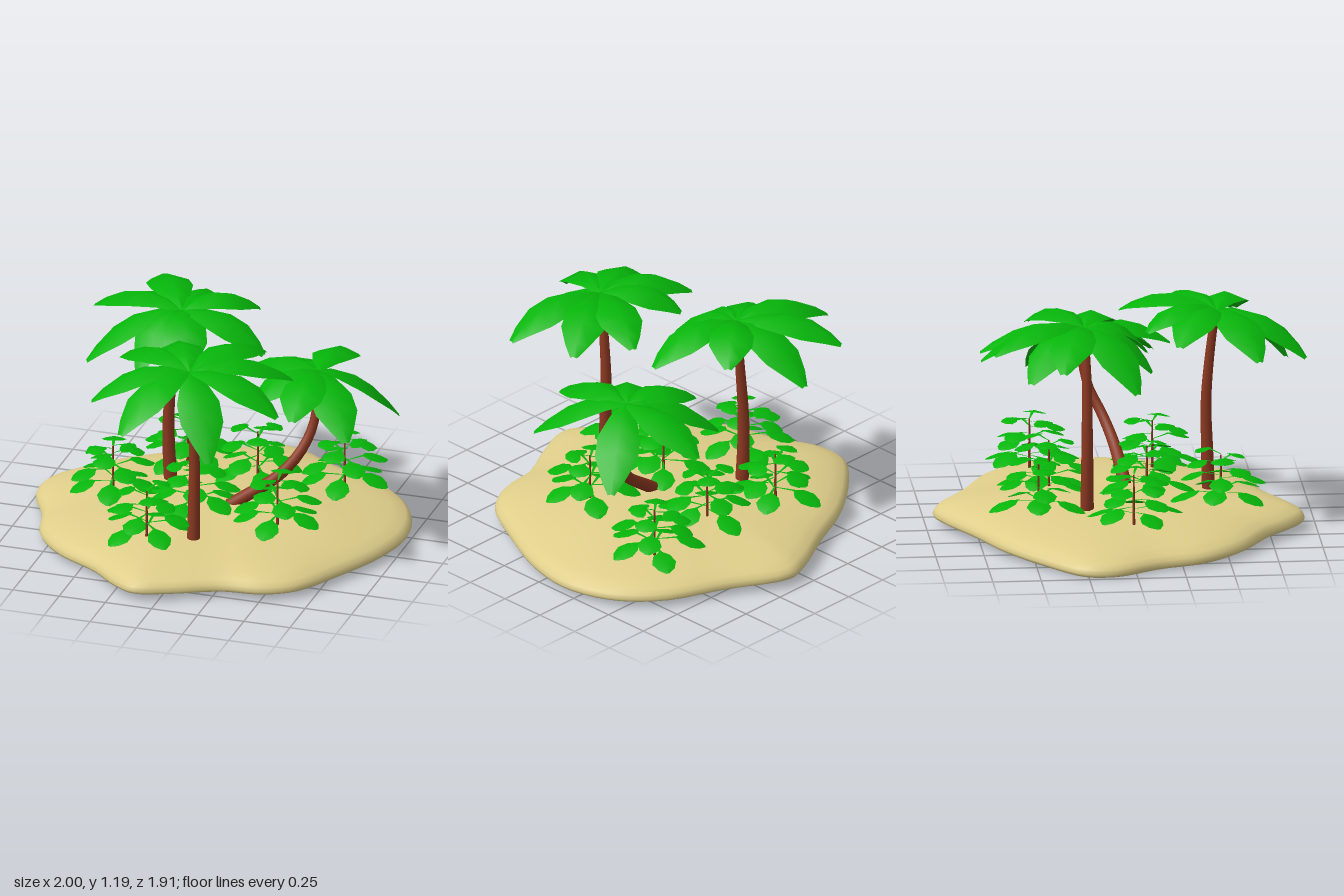
import * as THREE from 'three';
import { mergeGeometries, toCreasedNormals } from 'three/addons/utils/BufferGeometryUtils.js';

const V = (x, y, z) => new THREE.Vector3(x, y, z);

function material(name, color, extra = {}) {
  const m = new THREE.MeshStandardMaterial({ color, ...extra });
  m.name = name;
  return m;
}

function mesh(name, geometry, mat) {
  const m = new THREE.Mesh(geometry, mat);
  m.name = name;
  return m;
}

// Sand shell: rings of a rounded rim profile that follow an irregular shoreline
function islandGeometry() {
  const shore = [
    [0.13, -0.96], [0.43, -0.80], [0.75, -0.645], [0.925, -0.45], [1.0, -0.19], [0.955, 0.08],
    [0.81, 0.40], [0.665, 0.645], [0.51, 0.735], [0.30, 0.765], [0.06, 0.88], [-0.12, 0.94],
    [-0.24, 0.88], [-0.40, 0.735], [-0.65, 0.57], [-0.81, 0.37], [-0.88, 0.13], [-0.99, -0.11],
    [-0.98, -0.27], [-0.82, -0.45], [-0.56, -0.65], [-0.29, -0.78], [-0.02, -0.92],
  ].map(([x, z]) => V(x, 0.022 + 0.012 * z * z - 0.024 * Math.max(0, -x) ** 3, z));
  const curve = new THREE.CatmullRomCurve3(shore, true);
  const profile = [
    [0.975, 0], [0.993, 0.008], [1, 0.022], [0.993, 0.045], [0.968, 0.068], [0.9, 0.095],
    [0.78, 0.12], [0.6, 0.143], [0.35, 0.162], [0.15, 0.168], [0, 0.17],
  ];
  const n = 96, pos = [], index = [];
  profile.forEach(([s, h], r) => {
    for (let i = 0; i < n; i++) {
      const p = curve.getPoint(i / n);
      const x = p.x * s, z = p.z * s;
      const bump = 0.035 * Math.exp(-((x - 0.45) ** 2 + z * z) / 0.09) * (1 - s ** 4);
      const rimY = THREE.MathUtils.lerp(0.022, p.y, s);
      pos.push(x, Math.max(0, rimY + h + bump), z);
      if (r < profile.length - 1) {
        const a = r * n + i, b = r * n + (i + 1) % n;
        index.push(a, a + n, b, b, a + n, b + n);
      }
    }
  });
  const g = new THREE.BufferGeometry();
  g.setAttribute('position', new THREE.Float32BufferAttribute(pos, 3));
  g.setIndex(index);
  g.computeVertexNormals();
  return g;
}

// Tapered trunk along a path, closed at both ends
function trunkGeometry(points, r0, r1, sides = 10, seg = 18) {
  const curve = new THREE.CatmullRomCurve3(points);
  const g = new THREE.TubeGeometry(curve, seg, 1, sides, false);
  const p = g.attributes.position, v = V(0, 0, 0);
  for (let i = 0; i <= seg; i++) {
    const own = curve.getPointAt(i / seg);
    const end = i === 0 || i === seg;
    const centre = end ? curve.getPointAt(i === 0 ? 1 / seg : 1 - 1 / seg) : own;
    const r = end ? 0 : THREE.MathUtils.lerp(r0, r1, i / seg);
    for (let j = 0; j <= sides; j++) {
      const k = i * (sides + 1) + j;
      v.fromBufferAttribute(p, k).sub(own).multiplyScalar(r).add(centre);
      p.setXYZ(k, v.x, v.y, v.z);
    }
  }
  return toCreasedNormals(g, 0.9);
}

// Arched blade from base over ctrl to tip; rows are [t, half width], edges drop by fold
function bladeGeometry(base, ctrl, tip, rows, fold) {
  const curve = new THREE.QuadraticBezierCurve3(base, ctrl, tip);
  const side = V(-(tip.z - base.z), 0, tip.x - base.x).normalize();
  const pos = [], index = [];
  rows.forEach(([t, w], r) => {
    const c = curve.getPoint(t);
    for (const k of [-1, 0, 1]) {
      pos.push(c.x + side.x * w * k, c.y - Math.abs(k) * w * fold, c.z + side.z * w * k);
    }
    if (r === rows.length - 1) return;
    for (const a of [r * 3, r * 3 + 1]) index.push(a, a + 3, a + 1, a + 1, a + 3, a + 4);
  });
  const g = new THREE.BufferGeometry();
  g.setAttribute('position', new THREE.Float32BufferAttribute(pos, 3));
  g.setIndex(index);
  g.computeVertexNormals();
  return g;
}

const FROND = [[0, 0.015], [0.2, 0.068], [0.45, 0.112], [0.66, 0.112], [0.87, 0.062], [1, 0.018]];
const SMALL_LEAF = [[0, 0.003], [0.4, 0.008], [0.5, 0.045], [0.7, 0.064], [0.88, 0.044], [1, 0.008]];

// Crown of fronds, one for each tip
function crownGeometry(centre, tips, lift) {
  return mergeGeometries(tips.map(([x, y, z]) => {
    const tip = V(x, y, z);
    const ctrl = centre.clone().lerp(tip, 0.52);
    ctrl.y = centre.y + lift + 0.4 * (y - centre.y);
    return bladeGeometry(centre, ctrl, tip, FROND, 0.38);
  }));
}

// Leaf tiers of a small plant: [height, reach, leaf count, tip drop]
const TIERS = [[0.075, 0.26, 5, 0.04], [0.145, 0.23, 4, 0.025], [0.205, 0.19, 3, 0.01], [0.25, 0.15, 3, -0.005]];

function bushGeometry(x, y, z, turn) {
  const leaves = [];
  TIERS.forEach(([h, reach, count, drop], t) => {
    for (let i = 0; i < count; i++) {
      const a = turn + t * 0.75 + (i / count) * Math.PI * 2;
      const len = reach * (0.95 + 0.08 * Math.sin(i * 2.3 + turn));
      const leafY = y + h + 0.018 * Math.sin(i * 2.6 + t + turn * 3);
      const base = V(x, leafY, z);
      const tip = V(x + Math.cos(a) * len, leafY - drop, z + Math.sin(a) * len);
      const ctrl = base.clone().lerp(tip, 0.55);
      ctrl.y = leafY + 0.04;
      leaves.push(bladeGeometry(base, ctrl, tip, SMALL_LEAF, 0.2));
    }
  });
  return mergeGeometries(leaves);
}

export function createModel() {
  const model = new THREE.Group();
  model.name = 'palmIsland';
  const sand = material('sand', 0xdfce8a, { side: THREE.DoubleSide });
  const bark = material('bark', 0x8b3820);
  const leaf = material('leaf', 0x06b50a, { side: THREE.DoubleSide });

  model.add(mesh('island', islandGeometry(), sand));

  // Palms: trunk path and frond tips
  const palms = [
    {
      name: 'frontPalm', lift: 0.17, centre: V(0.04, 1.13, 0.5),
      path: [V(0.05, 0.1, 0.46), V(0.05, 0.4, 0.45), V(0.05, 0.65, 0.445), V(0.045, 0.95, 0.47), V(0.04, 1.13, 0.495)],
      tips: [[0.29, 1.08, 0.02], [0.51, 1.04, 0.23], [0.56, 1.0, 0.63], [0.27, 0.81, 0.88],
        [-0.19, 0.93, 0.94], [-0.43, 0.98, 0.68], [-0.40, 1.06, 0.27], [-0.17, 1.08, 0.12]],
    },
    {
      name: 'backPalm', lift: 0.17, centre: V(-0.235, 1.13, -0.21),
      path: [V(-0.285, 0.1, -0.2), V(-0.3, 0.35, -0.2), V(-0.3, 0.55, -0.2), V(-0.275, 0.85, -0.2), V(-0.24, 1.13, -0.21)],
      tips: [[-0.2, 0.96, -0.74], [-0.51, 1.07, -0.7], [-0.75, 1.03, -0.36], [-0.67, 0.89, 0.03],
        [-0.36, 0.92, 0.13], [-0.09, 0.95, 0.13], [0.25, 1.0, -0.09], [0.1, 1.08, -0.48]],
    },
    {
      name: 'leaningPalm', lift: 0.14, centre: V(0.52, 0.92, -0.16),
      path: [V(0.06, 0.15, 0.04), V(0.2, 0.25, 0.02), V(0.35, 0.36, -0.01), V(0.45, 0.48, -0.06),
        V(0.5, 0.6, -0.12), V(0.52, 0.75, -0.155), V(0.52, 0.92, -0.165)],
      tips: [[0.53, 0.8, -0.68], [0.88, 0.62, -0.4], [0.8, 0.72, 0.23], [0.53, 0.83, 0.3],
        [0.25, 0.8, 0.1], [0.1, 0.83, -0.24], [0.14, 0.73, -0.45]],
    },
  ];
  for (const { name, lift, centre, path, tips } of palms) {
    const palm = new THREE.Group();
    palm.name = name;
    palm.add(mesh('trunk', trunkGeometry(path, 0.036, 0.021), bark));
    palm.add(mesh('fronds', crownGeometry(centre, tips, lift), leaf));
    model.add(palm);
  }

  // Small leafy plants: x, ground height, z, turn
  const bushes = [
    [0.42, 0.18, 0.2, 0.3], [0.13, 0.17, -0.36, 1.1], [-0.28, 0.16, -0.45, 0.7], [-0.53, 0.16, 0.02, 0.1],
    [-0.19, 0.16, 0.5, 0.9], [-0.05, 0.18, 0.13, 0.5], [0.58, 0.16, -0.42, 0.2],
  ];
  for (const [x, y, z, turn] of bushes) {
    const bush = new THREE.Group();
    bush.name = 'bush';
    const stem = mesh('stem', new THREE.CylinderGeometry(0.004, 0.008, 0.27, 6), bark);
    stem.position.set(x, y + 0.125, z);
    bush.add(stem, mesh('bushLeaves', bushGeometry(x, y, z, turn), leaf));
    model.add(bush);
  }
  return model;
}
